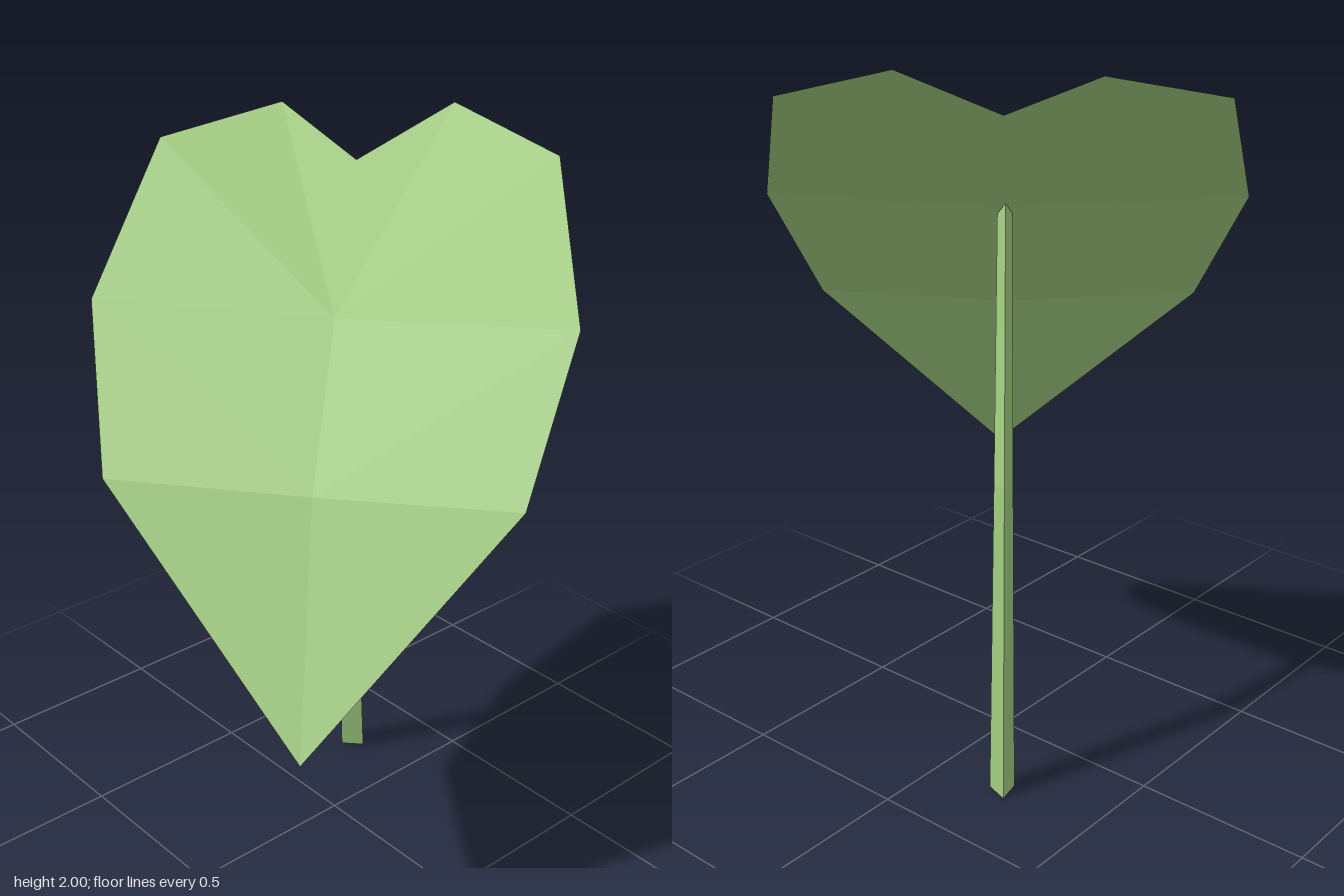
import * as THREE from 'three';

// Faceted geometry from points and triangles, one normal per face
function faceted(points, faces) {
  const geo = new THREE.BufferGeometry();
  geo.setAttribute('position', new THREE.Float32BufferAttribute(points.flat(), 3));
  geo.setIndex(faces.flat());
  const flat = geo.toNonIndexed();
  flat.computeVertexNormals();
  return flat;
}

// Heart-shaped blade: outline fanned around the stem joint, folded along the midrib
function makeLeaf(material) {
  const points = [
    [-0.50, 0.63, 0.44],   // 0 tip
    [-0.605, 1.22, -0.20],
    [-0.425, 1.58, -0.475],
    [-0.065, 1.91, -0.64],
    [0.24, 1.985, -0.49],
    [0.28, 1.87, -0.23],   // 5 notch
    [0.545, 2.00, -0.13],
    [0.605, 1.91, 0.20],
    [0.36, 1.58, 0.515],
    [0.06, 1.22, 0.635],
    [0, 1.555, 0],         // 10 stem joint
    [-0.25, 1.20, 0.20],   // 11 midrib fold
  ];
  const joint = 10, rib = 11;
  const faces = [
    [0, rib, 1], [0, 9, rib],
    [1, rib, 2], [rib, joint, 2],
    [rib, 9, 8], [rib, 8, joint],
  ];
  for (let i = 2; i < 8; i++) faces.push([joint, i + 1, i]);
  const mesh = new THREE.Mesh(faceted(points, faces), material);
  mesh.name = 'leafBlade';
  return mesh;
}

// Three-sided tapering stem with one bend
function makeStem(material) {
  const section = [[0.009, 0.038], [0.029, -0.027], [-0.037, -0.012]];
  const rings = [
    { at: [0.266, 0, -0.213], size: 1, tilt: 0 },
    { at: [0.174, 0.865, -0.141], size: 0.75, tilt: 0.2 },
    { at: [0, 1.55, 0], size: 0.58, tilt: 0.75 }, // cut to meet the blade
  ];
  const points = [], faces = [[0, 2, 1], [6, 7, 8]];
  rings.forEach(({ at: [x, y, z], size, tilt }, r) => {
    section.forEach(([dx, dz], i) => {
      points.push([x + dx * size, y + tilt * size * (dx - dz), z + dz * size]);
      if (r === 0) return;
      const a = (r - 1) * 3 + i, b = (r - 1) * 3 + (i + 1) % 3;
      faces.push([a, b, b + 3], [a, b + 3, a + 3]);
    });
  });
  const mesh = new THREE.Mesh(faceted(points, faces), material);
  mesh.name = 'stem';
  return mesh;
}

export function createModel() {
  const leafGreen = new THREE.MeshStandardMaterial({ color: 0xa0ca7e, side: THREE.DoubleSide });
  leafGreen.name = 'leafGreen';
  const group = new THREE.Group();
  group.name = 'leafOnStem';
  group.add(makeLeaf(leafGreen), makeStem(leafGreen));
  return group;
}
